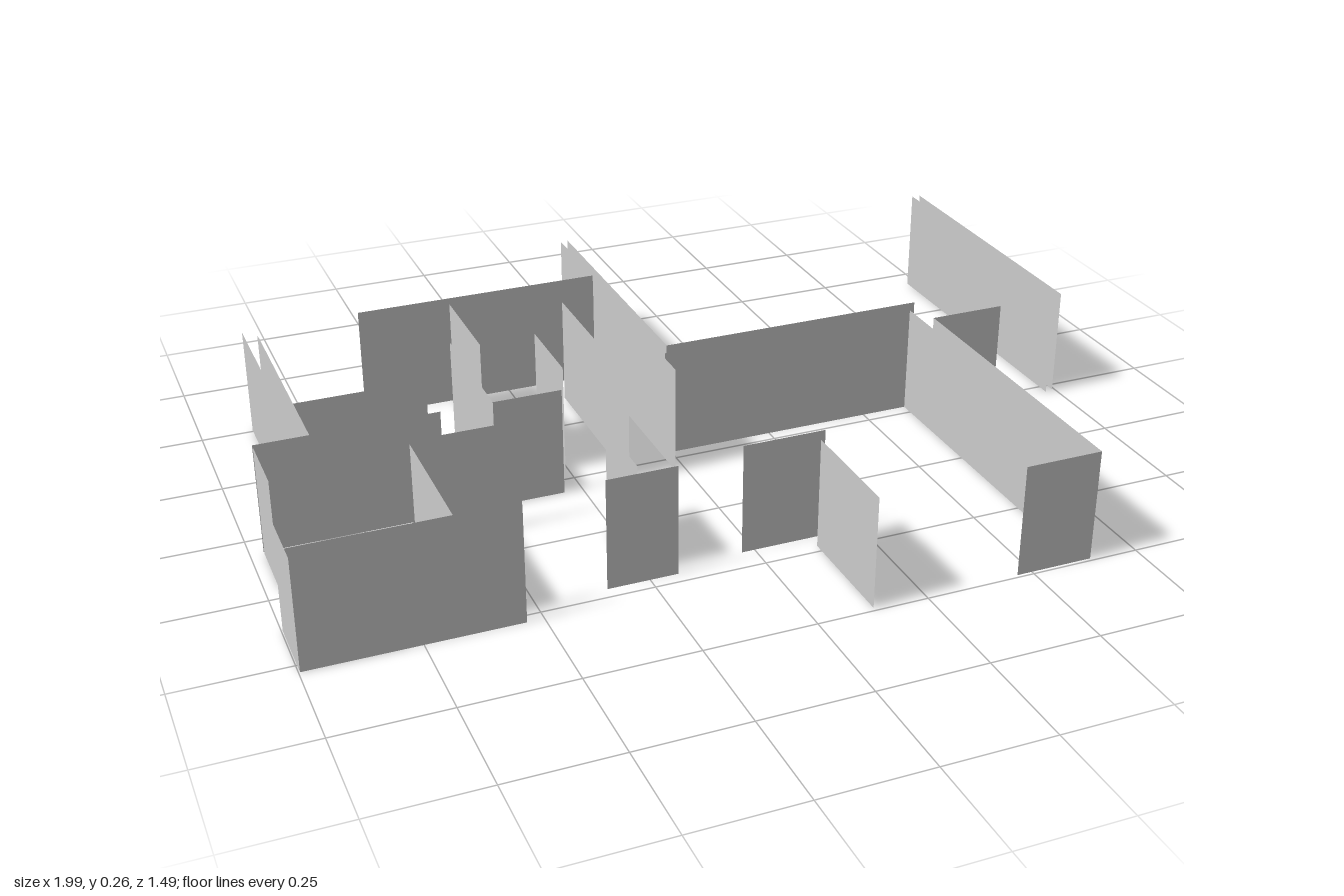
import * as THREE from 'three';

const HEIGHT = 0.257;

// Walls running front to back: [x, zStart, zEnd]
const sideWalls = {
  outerSideWall: [
    [-0.88, -0.505, 0.024], [-0.85, -0.478, 0.056],
    [-0.015, -0.745, -0.513], [0.004, -0.748, -0.07],
    [0.611, -0.03, 0.707], [0.642, 0.03, 0.742],
    [-0.97, 0.064, 0.219], [-0.997, 0.37, 0.525],
  ],
  detachedWall: [[0.973, -0.69, 0.03], [0.994, -0.687, 0.024]],
  partitionSide: [
    [-0.45, -0.27, 0.056], [-0.39, -0.478, -0.232], [-0.255, -0.243, -0.045],
    [-0.137, -0.387, 0.056], [-0.025, -0.478, 0.056],
    [-0.667, 0.173, 0.485], [-0.265, 0.255, 0.44], [0.13, 0.478, 0.74],
  ],
};

// Walls running left to right: [z, xStart, xEnd]
const crossWalls = {
  backWall: [[-0.51, -0.605, -0.015], [-0.478, -0.605, -0.025]],
  middleWall: [[-0.067, 0.004, 0.643], [-0.03, -0.015, 0.611]],
  frontWall: [
    [0.525, -0.997, -0.537], [0.488, -0.997, -0.537],
    [0.742, 0.465, 0.642], [0.03, 0.642, 0.823],
  ],
  partitionCross: [
    [0.056, -0.97, -0.567], [-0.1, -0.85, -0.555], [0.16, -0.667, -0.425],
    [0.47, -0.345, -0.187], [0.442, -0.03, 0.158], [0.056, -0.45, -0.293],
  ],
};

export function createModel() {
  const model = new THREE.Group();
  model.name = 'floorPlanWalls';
  const material = new THREE.MeshStandardMaterial({ color: 0xcccccc, side: THREE.DoubleSide });

  // One upright sheet, standing on the ground
  function addWall(group, alongZ, offset, start, end) {
    const wall = new THREE.Mesh(new THREE.PlaneGeometry(end - start, HEIGHT), material);
    const mid = (start + end) / 2;
    wall.position.set(alongZ ? offset : mid, HEIGHT / 2, alongZ ? mid : offset);
    if (alongZ) wall.rotation.y = Math.PI / 2;
    wall.name = group.name + (group.children.length + 1);
    group.add(wall);
  }

  function addGroups(table, alongZ) {
    for (const [name, walls] of Object.entries(table)) {
      const group = new THREE.Group();
      group.name = name;
      for (const wall of walls) addWall(group, alongZ, ...wall);
      model.add(group);
    }
  }

  addGroups(sideWalls, true);
  addGroups(crossWalls, false);
  return model;
}
